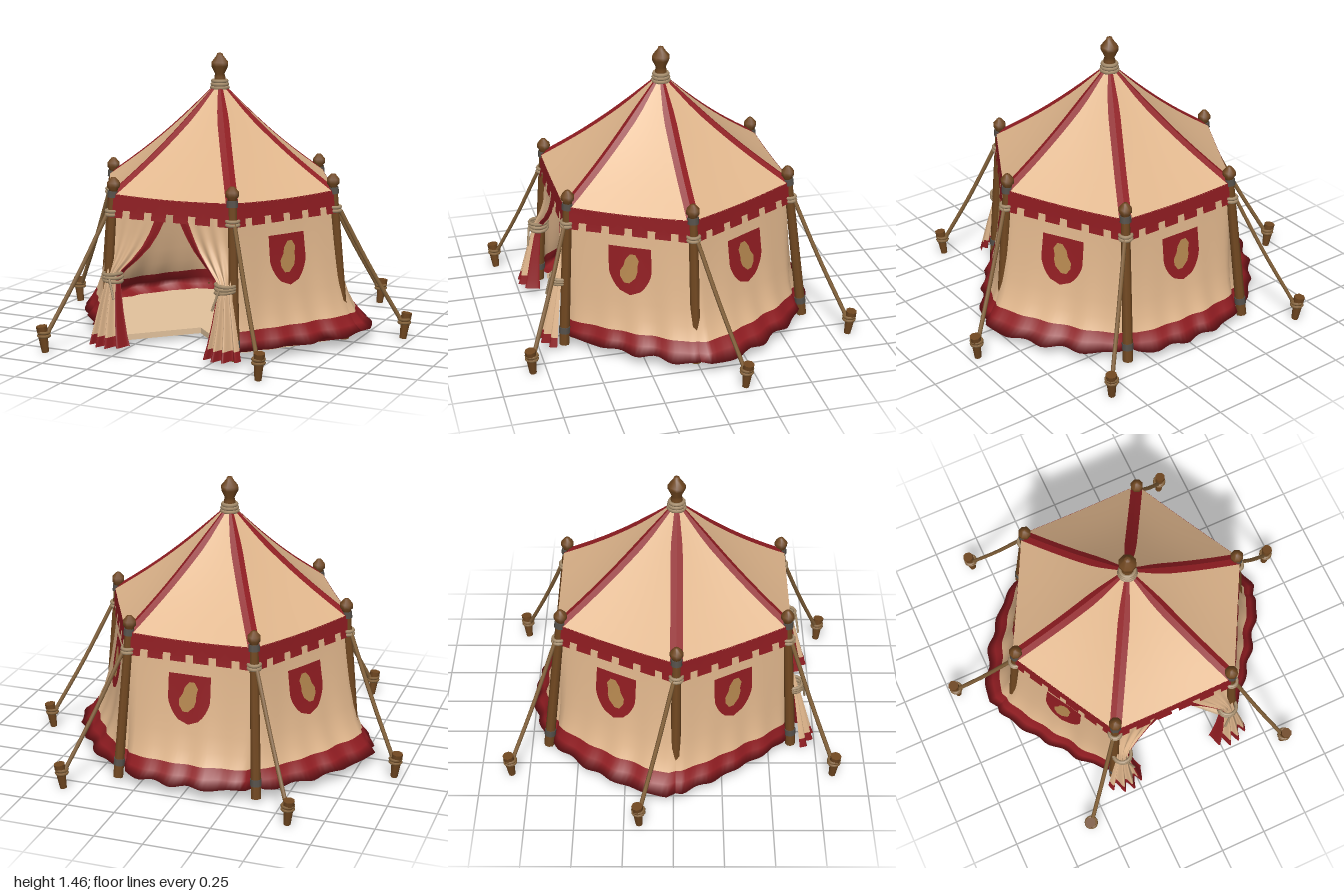
import * as THREE from 'three';

const mat = (name, color, side = THREE.FrontSide) => {
  const m = new THREE.MeshStandardMaterial({ color, side });
  m.name = name;
  return m;
};

export function createModel() {
  const canvas = mat('canvas', 0xe0b68c, THREE.DoubleSide);
  const red = mat('redCloth', 0x8f1c21, THREE.DoubleSide);
  const ochre = mat('ochre', 0xb5874f, THREE.DoubleSide);
  const floorMat = mat('floorCloth', 0xe2c29c, THREE.DoubleSide);
  const wood = mat('wood', 0x704720);
  const rope = mat('guyRope', 0x84623a);
  const cord = mat('paleCord', 0xa68d6c);
  const metal = mat('darkMetal', 0x55504a);

  const root = new THREE.Group();
  root.name = 'pavilionTent';
  const V = (x, y, z) => new THREE.Vector3(x, y, z);
  const lerp = THREE.MathUtils.lerp;
  const add = (name, geo, m, parent = root) => {
    const mesh = new THREE.Mesh(geo, m);
    mesh.name = name;
    parent.add(mesh);
    return mesh;
  };

  // Cloth grid; pick(i, j) chooses a material per cell, or -1 for a gap
  const sheet = (name, nu, nv, pos, pick, mats = [canvas, red]) => {
    const pts = [], lists = mats.map(() => []);
    for (let j = 0; j <= nv; j++)
      for (let i = 0; i <= nu; i++) pts.push(...pos(i, j).toArray());
    for (let j = 0; j < nv; j++)
      for (let i = 0; i < nu; i++) {
        const c = pick(i, j);
        if (c < 0) continue;
        const a = j * (nu + 1) + i, d = a + nu + 1;
        lists[c].push(a, d, a + 1, a + 1, d, d + 1);
      }
    const g = new THREE.BufferGeometry();
    g.setAttribute('position', new THREE.Float32BufferAttribute(pts, 3));
    g.setIndex(lists.flat());
    let start = 0;
    lists.forEach((l, k) => { if (l.length) g.addGroup(start, l.length, k); start += l.length; });
    g.computeVertexNormals();
    return add(name, g, mats);
  };

  // Tapered rod between two points
  const rod = (name, a, b, ra, rb, m, parent = root) => {
    const d = b.clone().sub(a);
    const mesh = add(name, new THREE.CylinderGeometry(rb, ra, d.length(), 8), m, parent);
    mesh.position.copy(a).addScaledVector(d, 0.5);
    mesh.quaternion.setFromUnitVectors(V(0, 1, 0), d.normalize());
    return mesh;
  };
  const ring = (name, p, r, tube, m, parent = root) => {
    const mesh = add(name, new THREE.TorusGeometry(r, tube, 6, 14), m, parent);
    mesh.rotation.x = Math.PI / 2;
    mesh.position.copy(p);
    return mesh;
  };

  // Six corners at the eave and at the ground, from front left round the back
  const top = [[0.325, 0.575], [0.63, 0.015], [0.325, -0.57], [-0.325, -0.57], [-0.63, 0.015], [-0.325, 0.575]];
  const base = [[0.35, 0.6], [0.79, 0.01], [0.345, -0.63], [-0.345, -0.63], [-0.79, 0.01], [-0.35, 0.6]];
  const bulge = [0.05, 0.115, 0.12, 0.115, 0.05];
  const normal = k => {
    const a = top[k], b = top[(k + 1) % 6];
    const n = V(a[1] - b[1], 0, b[0] - a[0]).normalize();
    return n.dot(V(a[0] + b[0], 0, a[1] + b[1])) < 0 ? n.negate() : n;
  };
  const onEave = (k, u, y, s = 1) => {
    const a = top[k], b = top[(k + 1) % 6];
    return V(lerp(a[0], b[0], u) * s, y, lerp(a[1], b[1], u) * s);
  };
  const wallAt = (k, u, y, out = 0) => {
    const t = Math.max(0, (0.78 - y) / 0.72), l = (k + 1) % 6;
    const f = 0.55 * t ** 1.3 + 0.45 * t ** 8;
    const edge = c => [lerp(top[c][0], base[c][0], f), lerp(top[c][1], base[c][1], f)];
    const a = edge(k), b = edge(l), s = Math.max(0, Math.sin(Math.PI * u));
    const push = out + bulge[k] * f * s ** 0.35
      + s * (0.012 * t ** 4 * Math.sin(u * 25 + k * 2) + 0.004 * t * Math.sin(u * 17 + k * 2));
    return V(lerp(a[0], b[0], u), y, lerp(a[1], b[1], u)).addScaledVector(normal(k), push);
  };

  // Walls with a red hem folded under, and a shield on each
  const rows = [0.77, 0.7, 0.6, 0.5, 0.4, 0.3, 0.22, 0.15, 0.1, 0.06];
  const inner = (k, u) => wallAt(k, u, 0.06).multiply(V(0.86, 0, 0.86)).setY(0.025);
  for (let k = 0; k < 5; k++) {
    sheet('wallPanel', 30, rows.length, (i, j) => {
      if (j === rows.length) return inner(k, i / 30);
      const p = wallAt(k, i / 30, rows[j]);
      if (j === rows.length - 1) p.y += 0.008 * Math.sin(i * 0.7 + k);
      return p;
    }, (i, j) => (j >= 7 ? 1 : 0));
    sheet('shield', 8, 12, (i, j) => {
      const v = j / 12, w = 0.112 * (v < 0.5 ? 1 : Math.sqrt(Math.max(0, 1 - ((v - 0.5) / 0.5) ** 1.4)));
      return wallAt(k, 0.5 + (i / 4 - 1) * w / 0.66, 0.6 - 0.255 * v, 0.006);
    }, () => 0, [red]);
    const blob = [[0.014, 0.015], [0.036, 0.012], [0.036, 0.004], [0.046, -0.006], [0.04, -0.01], [0.014, -0.016]];
    const lean = k % 2 ? -1 : 1;
    sheet('shieldEmblem', 2, 5, (i, j) =>
      wallAt(k, 0.5 + (lean * blob[j][1] + (i - 1) * blob[j][0]) / 0.66, 0.565 - 0.031 * j, 0.01), () => 0, [ochre]);
  }

  // Floor slab, cut back in a wedge behind the doorway
  const outline = [];
  for (let k = 0; k < 5; k++)
    for (let i = 0; i < 10; i++) {
      const p = inner(k, i / 10);
      outline.push(new THREE.Vector2(p.x, -p.z));
    }
  outline.push(new THREE.Vector2(-0.33, -0.58), new THREE.Vector2(0, -0.25), new THREE.Vector2(0.33, -0.58));
  const floor = add('floor', new THREE.ExtrudeGeometry(new THREE.Shape(outline), { depth: 0.03, bevelEnabled: false }), floorMat);
  floor.rotation.x = -Math.PI / 2;
  floor.position.y = 0.022;

  // Roof with red ridge stripes, and the notched valance
  for (let k = 0; k < 6; k++) {
    sheet('roofPanel', 10, 10, (i, j) => {
      const v = j / 10, s = lerp(0.06, 1.035, v);
      const w = lerp(0.014, 0.036, Math.min(1, v * 4)) / (0.66 * s);
      const u = i === 0 ? 0 : i === 10 ? 1 : lerp(w, 1 - w, (i - 1) / 8);
      const y = lerp(1.28, 0.785, v) - 0.024 * Math.sin(Math.PI * v) - 0.012 * v * Math.sin(Math.PI * u);
      return onEave(k, u, y, s).add(V(0, 0, 0.015 * (1 - v)));
    }, i => (i === 0 || i === 9 ? 1 : 0));
    const drop = [0.787, 0.706, 0.668];
    sheet('valance', 17, 2, (i, j) =>
      onEave(k, i / 17, drop[j] - (j === 0 ? 0.01 * Math.sin(Math.PI * i / 17) : 0), 1.034 + 0.01 * j),
      (i, j) => (j === 1 && i % 3 === 2 ? -1 : 1));
  }

  // Tied-back door curtains: y, outer x, inner x, z, pleat depth
  const drape = [
    [0.76, 0.33, 0.02, 0.575, 0.003], [0.68, 0.335, 0.035, 0.578, 0.004], [0.6, 0.34, 0.075, 0.58, 0.006],
    [0.53, 0.345, 0.12, 0.585, 0.01], [0.46, 0.345, 0.185, 0.597, 0.014], [0.41, 0.345, 0.24, 0.612, 0.018],
    [0.37, 0.345, 0.272, 0.625, 0.02], [0.31, 0.355, 0.262, 0.638, 0.026], [0.2, 0.38, 0.245, 0.655, 0.038],
    [0.08, 0.405, 0.22, 0.672, 0.052], [0.03, 0.415, 0.205, 0.68, 0.06]];
  for (const s of [1, -1]) {
    sheet('doorCurtain', 40, 10, (i, j) => {
      const [y, xo, xi, z, d] = drape[j], u = i / 40;
      const swell = d * (0.45 * Math.sin(u * 24) + 0.9 * Math.sin(Math.PI * u) - 0.2);
      return V(s * lerp(xo, xi, u), y, z + swell);
    }, (i, j) => (i >= 33 || j >= 9 ? 1 : 0));
    for (let n = 0; n < 3; n++) {
      const tie = ring('curtainTie', V(s * 0.31, 0.355 + n * 0.017, 0.622), 0.048, 0.009, cord);
      tie.rotation.y = s * (0.12 - n * 0.1);
    }
    rod('tieEnd', V(s * 0.3, 0.37, 0.675), V(s * 0.27, 0.27, 0.69), 0.006, 0.006, cord);
  }

  // Corner poles with caps, lashings, guy ropes and stakes
  const feet = [[0.36, 0.62], [0.7, 0.01], [0.37, -0.66], [-0.37, -0.66], [-0.7, 0.01], [-0.36, 0.62]];
  const pegs = [[0.575, 0.825], [0.96, -0.175], [0.6, -0.84], [-0.59, -0.845], [-0.96, -0.175], [-0.59, 0.83]];
  const capProfile = [[0, -0.02], [0.024, -0.02], [0.024, 0], [0.034, 0.01], [0.034, 0.032], [0.012, 0.058], [0, 0.06]]
    .map(p => new THREE.Vector2(...p));
  top.forEach((c, k) => {
    const pole = new THREE.Group();
    pole.name = 'cornerPole';
    root.add(pole);
    const foot = V(feet[k][0], 0.015, feet[k][1]), head = V(c[0], 0.815, c[1]);
    const at = y => foot.clone().lerp(head, (y - 0.015) / 0.8);
    rod('poleShaft', foot, head, 0.027, 0.023, wood, pole);
    rod('poleBand', at(0.765), at(0.798), 0.03, 0.029, metal, pole);
    rod('footBand', at(0.08), at(0.115), 0.03, 0.03, metal, pole);
    add('poleCap', new THREE.LatheGeometry(capProfile, 8), wood, pole).position.copy(at(0.808));
    for (let n = 0; n < 2; n++) ring('poleLashing', at(0.68 + n * 0.018), 0.03, 0.009, cord, pole);

    const dir = V(pegs[k][0] - c[0], 0, pegs[k][1] - c[1]).normalize();
    const peg = V(pegs[k][0], 0, pegs[k][1]);
    const pegTop = peg.clone().addScaledVector(dir, 0.012).setY(0.135);
    rod('stake', peg.clone().addScaledVector(dir, -0.006), pegTop, 0.018, 0.029, wood, pole);
    for (let n = 0; n < 2; n++) ring('stakeLoop', peg.clone().setY(0.085 + n * 0.018), 0.028, 0.008, rope, pole);
    const start = at(0.685).addScaledVector(dir, 0.025), end = peg.clone().setY(0.1).addScaledVector(dir, -0.02);
    const mid = start.clone().lerp(end, 0.5).add(V(0, -0.015, 0));
    add('guyRope', new THREE.TubeGeometry(new THREE.CatmullRomCurve3([start, mid, end]), 12, 0.011, 6), rope, pole);
  });

  // Central pole and finial
  rod('centrePole', V(0.012, 0.025, 0.01), V(0, 1.3, 0.015), 0.03, 0.026, wood);
  rod('centreFootBand', V(0.012, 0.05, 0.01), V(0.012, 0.12, 0.01), 0.034, 0.034, metal);
  const finial = [[0.034, 1.24], [0.03, 1.33], [0.026, 1.345], [0.046, 1.385], [0.046, 1.405], [0.018, 1.44], [0.014, 1.452], [0, 1.454]]
    .map(p => new THREE.Vector2(...p));
  add('finial', new THREE.LatheGeometry(finial, 8), wood).position.z = 0.015;
  for (let n = 0; n < 3; n++) ring('finialLashing', V(0, 1.275 + n * 0.017, 0.015), 0.042 - n * 0.003, 0.01, cord);

  return root;
}
